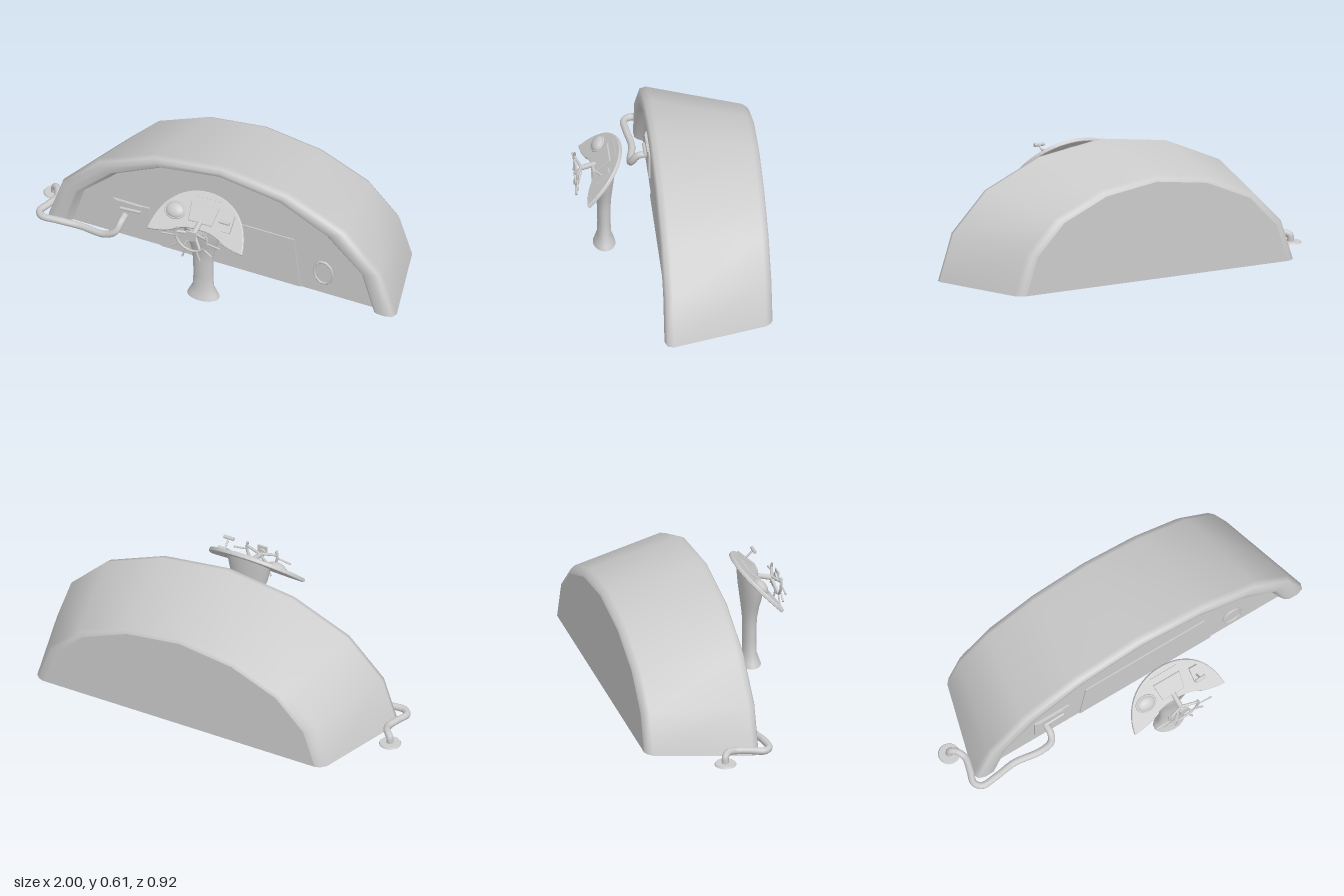
import * as THREE from 'three';

const mat = new THREE.MeshStandardMaterial({ color: 0xcccccc, side: THREE.DoubleSide });
const V = (x, y, z) => new THREE.Vector3(x, y, z);

function add(parent, name, geo, x = 0, y = 0, z = 0) {
  const m = new THREE.Mesh(geo, mat);
  m.name = name;
  m.position.set(x, y, z);
  parent.add(m);
  return m;
}

// Skin over a list of rings that all have the same number of points
function loft(rings, closed) {
  const n = rings[0].length, idx = [];
  for (let i = 0; i < rings.length - 1; i++) {
    for (let j = 0; j < (closed ? n : n - 1); j++) {
      const k = (j + 1) % n;
      const a = i * n + j, b = i * n + k, c = a + n, d = b + n;
      idx.push(a, b, c, b, d, c);
    }
  }
  const g = new THREE.BufferGeometry().setFromPoints(rings.flat());
  g.setIndex(idx);
  g.computeVertexNormals();
  return g;
}

// Straight round bar between two points
function rod(parent, name, a, b, r, r2 = r) {
  const m = add(parent, name, new THREE.CylinderGeometry(r2, r, a.distanceTo(b), 10));
  m.position.copy(a).lerp(b, 0.5);
  m.quaternion.setFromUnitVectors(V(0, 1, 0), b.clone().sub(a).normalize());
  return m;
}

const CX = 0.05; // middle of the shell
const mirror = (h) => [...h, ...h.slice(0, -1).reverse().map(([x, y]) => [-x, y])];
const OUTER = mirror([[0.95, 0], [0.87, 0.235], [0.675, 0.43], [0.365, 0.562], [0, 0.612]]);
const INNER = mirror([[0.84, 0], [0.775, 0.21], [0.585, 0.385], [0.325, 0.51], [0, 0.56]]);

// Arch between outer (t = 0) and inner (t = 1) outline
const arch = (s, t, z) => OUTER.map(([x, y], i) =>
  V(CX + s * (x + (INNER[i][0] - x) * t), s * (y + (INNER[i][1] - y) * t), z));

function buildShell(root) {
  const g = new THREE.Group();
  g.name = 'archedShell';
  root.add(g);
  const rings = [[0.8, 0, -0.459], [0.827, 0, -0.45], [0.852, 0, -0.425], [1, 0, 0.045], [0.99, 0, 0.075],
    [0.985, 0.3, 0.087], [1, 0.85, 0.085], [1, 1, 0.075], [0.975, 1, 0.045]].map((p) => arch(...p));
  add(g, 'shellSkin', loft(rings));
  const cap = (pts) => new THREE.ShapeGeometry(new THREE.Shape(pts.map((p) => new THREE.Vector2(p.x, p.y))));
  const back = cap(rings[0]);
  back.setIndex([...back.index.array].reverse()); // faces backwards
  back.computeVertexNormals();
  add(g, 'backWall', back, 0, 0, -0.459);
  add(g, 'frontWall', cap(rings[8]), 0, 0, 0.045);

  // Door, porthole and hatch on the front wall
  const door = new THREE.Shape([[-0.285, 0], [0.475, 0], [0.44, 0.28], [-0.25, 0.28]].map((p) => new THREE.Vector2(...p)));
  add(g, 'door', new THREE.ExtrudeGeometry(door, { depth: 0.006, bevelEnabled: false }), 0, 0, 0.045);
  add(g, 'portholeRim', new THREE.TorusGeometry(0.06, 0.007, 8, 10), 0.6, 0.127, 0.048).scale.set(0.85, 1.1, 1);
  add(g, 'portholePane', new THREE.CircleGeometry(0.056, 10), 0.6, 0.127, 0.049).scale.set(0.85, 1.1, 1);
  add(g, 'hatch', new THREE.BoxGeometry(0.2, 0.14, 0.01), -0.447, 0.142, 0.048);
  add(g, 'hatchSlot', new THREE.BoxGeometry(0.15, 0.008, 0.012), -0.46, 0.207, 0.052);
  rod(g, 'hatchHandle', V(-0.5, 0.175, 0.065), V(-0.39, 0.183, 0.065), 0.008);
}

function buildHose(root) {
  const g = new THREE.Group();
  g.name = 'hose';
  root.add(g);
  const path = new THREE.CatmullRomCurve3([[-0.483, 0.125, 0.05], [-0.483, 0.115, 0.095], [-0.5, 0.07, 0.125],
    [-0.56, 0.035, 0.127], [-0.7, 0.025, 0.107], [-0.82, 0.035, 0.125], [-0.9, 0.035, 0.128], [-0.928, 0.035, 0.095],
    [-0.91, 0.038, 0.03], [-0.895, 0.04, -0.04], [-0.915, 0.048, -0.085], [-0.94, 0.04, -0.108],
    [-0.945, 0.003, -0.11]].map((p) => V(...p)));
  add(g, 'hosePipe', new THREE.TubeGeometry(path, 90, 0.018, 10));
  add(g, 'hoseFlange', new THREE.CylinderGeometry(0.05, 0.055, 0.008, 24), -0.945, 0.004, -0.11);
}

function buildConsole(root) {
  const g = new THREE.Group();
  g.name = 'controlConsole';
  g.position.x = 0.07;
  root.add(g);

  // Pedestal: height, x radius, z radius, z centre, tilt of the ring
  const rings = [[0, 0.085, 0.056, 0.31, 0], [0.022, 0.075, 0.049, 0.31, 0], [0.06, 0.056, 0.035, 0.311, 0],
    [0.13, 0.052, 0.033, 0.311, 0], [0.22, 0.054, 0.034, 0.312, 0], [0.27, 0.06, 0.037, 0.312, 0.1],
    [0.33, 0.075, 0.045, 0.313, 0.2], [0.4, 0.1, 0.056, 0.314, 0.5], [0.482, 0.115, 0.063, 0.312, 1]]
    .map(([y, rx, rz, zc, k]) => Array.from({ length: 20 }, (_, i) => {
      const a = -i * Math.PI / 10, dz = rz * Math.sin(a);
      return V(rx * Math.cos(a), y - k * dz, zc + dz);
    }));
  add(g, 'pedestal', loft(rings, true));

  // Sloping crescent dashboard
  const dash = new THREE.Group();
  dash.name = 'dashboard';
  dash.position.set(0, 0.487, 0.318);
  dash.rotation.x = -Math.PI / 4;
  g.add(dash);
  const s = new THREE.Shape();
  s.moveTo(-0.255, -0.125);
  s.bezierCurveTo(-0.235, 0.035, -0.13, 0.122, 0, 0.122);
  s.bezierCurveTo(0.13, 0.122, 0.235, 0.035, 0.255, -0.125);
  s.quadraticCurveTo(0.19, -0.12, 0.14, -0.1);
  s.quadraticCurveTo(0.08, -0.06, 0, -0.065);
  s.quadraticCurveTo(-0.08, -0.06, -0.14, -0.1);
  s.quadraticCurveTo(-0.19, -0.12, -0.255, -0.125);
  add(dash, 'dashPanel', new THREE.ExtrudeGeometry(s, {
    depth: 0.01, bevelThickness: 0.005, bevelSize: 0.005, bevelSegments: 2, curveSegments: 14 }), 0, 0, -0.005);

  // Dash instruments
  const dome = add(dash, 'gaugeDome', new THREE.SphereGeometry(0.05, 20, 8, 0, Math.PI * 2, 0, Math.PI / 2), -0.145, -0.005, 0.01);
  dome.rotation.x = Math.PI / 2;
  dome.scale.set(1, 0.5, 0.8);
  add(dash, 'gaugeRing', new THREE.TorusGeometry(0.051, 0.006, 8, 24), -0.145, -0.005, 0.012).scale.y = 0.8;
  const screen = new THREE.Shape([[-0.06, -0.045], [0.06, -0.045], [0.072, 0.045], [-0.072, 0.045]].map((p) => new THREE.Vector2(...p)));
  add(dash, 'screen', new THREE.ExtrudeGeometry(screen, { depth: 0.006, bevelSize: 0.003, bevelThickness: 0.003, bevelSegments: 1 }), 0, 0.012, 0.01);
  add(dash, 'topVent', new THREE.BoxGeometry(0.15, 0.006, 0.006), 0, 0.095, 0.011);
  add(dash, 'throttleBase', new THREE.BoxGeometry(0.045, 0.09, 0.016), 0.145, 0.0, 0.016);
  rod(dash, 'throttleLever', V(0.145, 0, 0.015), V(0.145, -0.003, 0.078), 0.005);
  rod(dash, 'throttleGrip', V(0.117, -0.003, 0.078), V(0.173, -0.003, 0.078), 0.009);

  // Half wheel with radiating handles
  const wheel = new THREE.Group();
  wheel.name = 'steeringWheel';
  wheel.position.set(0, 0.455, 0.45);
  g.add(wheel);
  rod(g, 'steeringColumn', V(0, 0.475, 0.35), V(0, 0.452, 0.425), 0.013);
  add(wheel, 'wheelHub', new THREE.CylinderGeometry(0.022, 0.022, 0.016, 16)).rotation.x = Math.PI / 2;
  add(wheel, 'wheelRim', new THREE.TorusGeometry(0.085, 0.007, 8, 32, Math.PI * 1.24)).rotation.z = Math.PI * 0.88;
  for (const side of [-1, 1]) {
    for (const deg of [-8, -38, -70]) {
      const a = deg * Math.PI / 180, c = side * Math.cos(a), y = Math.sin(a);
      const end = deg === -8 ? 0.16 : 0.14;
      rod(wheel, 'wheelHandle', V(0.08 * c, 0.08 * y, 0.003), V(end * c, end * y, 0.003), 0.004, 0.005);
    }
    rod(wheel, 'wheelSpoke', V(0, 0.005, -0.025), V(side * 0.083, 0.01, 0), 0.007);
    rod(wheel, 'lowerSpoke', V(0, 0.005, -0.03), V(side * 0.045, -0.07, -0.003), 0.007);
  }
  add(wheel, 'wheelPlate', new THREE.BoxGeometry(0.05, 0.05, 0.008), 0, 0.01, 0.004);
}

export function createModel() {
  const root = new THREE.Group();
  root.name = 'arcShellWithConsole';
  buildShell(root);
  buildHose(root);
  buildConsole(root);
  return root;
}
